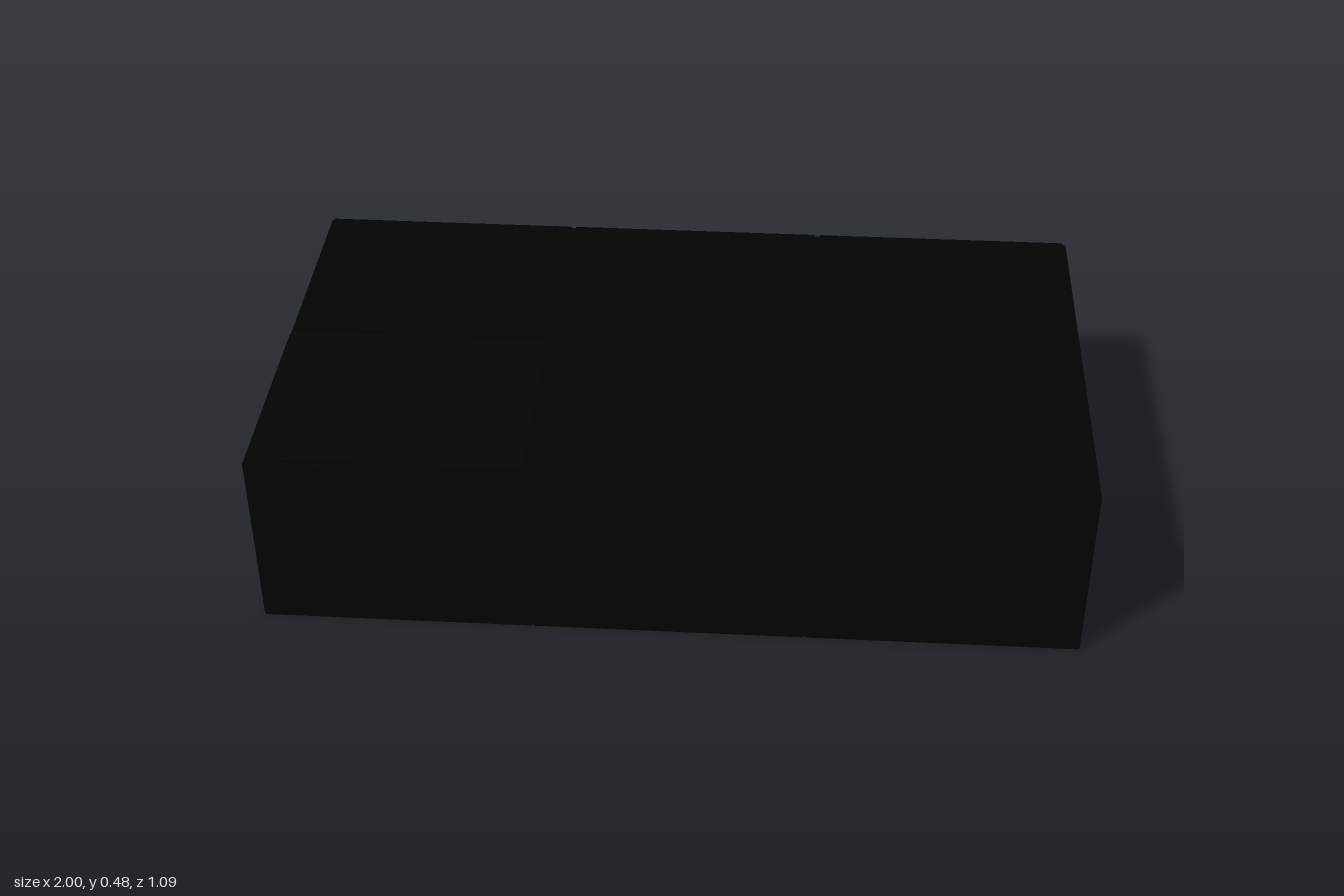
import * as THREE from 'three';

const W = 2, H = 0.48, D = 1.09;      // overall size
const CW = W / 3, CD = D / 2;         // one bay
const BAR = 0.03, T = 0.016, GAP = 0.006;

export function createModel() {
  const model = new THREE.Group();
  const black = new THREE.MeshStandardMaterial({ color: 0x030303 });

  function box(name, w, h, d, x, y, z) {
    const mesh = new THREE.Mesh(new THREE.BoxGeometry(w, h, d), black);
    mesh.name = name;
    mesh.position.set(x, y, z);
    model.add(mesh);
  }

  // Grid lines of the frame, kept just inside the cladding
  const inset = BAR / 2 + 0.004;
  const xs = [-W / 2 + inset, -CW / 2, CW / 2, W / 2 - inset];
  const zs = [-D / 2 + inset, 0, D / 2 - inset];

  // Posts at every grid crossing
  for (const x of xs) for (const z of zs) box('post', BAR, H - 0.01, BAR, x, (H - 0.01) / 2, z);

  // Floor and roof beams; the floor itself is open
  for (const y of [BAR / 2, H - BAR / 2 - 0.008]) {
    for (const z of zs) box('longBeam', W - 0.01, BAR, BAR, 0, y, z);
    for (const x of xs) box('crossBeam', BAR, BAR, D - 0.01, x, y, 0);
  }

  const wallH = H - 0.012;
  for (let i = 0; i < 3; i++) {
    const x = (i - 1) * CW;
    // Front and back wall panels
    for (const s of [-1, 1]) {
      box(s > 0 ? 'frontPanel' : 'backPanel', CW - GAP, wallH, T, x, wallH / 2, s * (D - T) / 2);
      // Roof panels, set in slightly from the outer walls
      box('roofPanel', CW - 0.016, T, CD - 0.016, x * 0.995, H - T / 2, s * CD / 2 * 0.995);
    }
    // Lengthwise partitions; the bay behind the doorway stays open
    if (i > 0) box('lengthPartition', CW - BAR, wallH, T, x, wallH / 2, 0);
  }

  for (const s of [-1, 1]) {
    const z = s * CD / 2;
    // End walls, leaving the rear bay at -x as an open doorway
    box('endPanel', T, wallH, CD - GAP, (W - T) / 2, wallH / 2, z);
    if (s > 0) box('endPanel', T, wallH, CD - GAP, -(W - T) / 2, wallH / 2, z);
    // Cross partitions between bays
    box('crossPartition', T, wallH, CD - BAR, CW / 2, wallH / 2, z);
    if (s < 0) box('crossPartition', T, wallH, CD - BAR, -CW / 2, wallH / 2, z);
  }
  return model;
}
